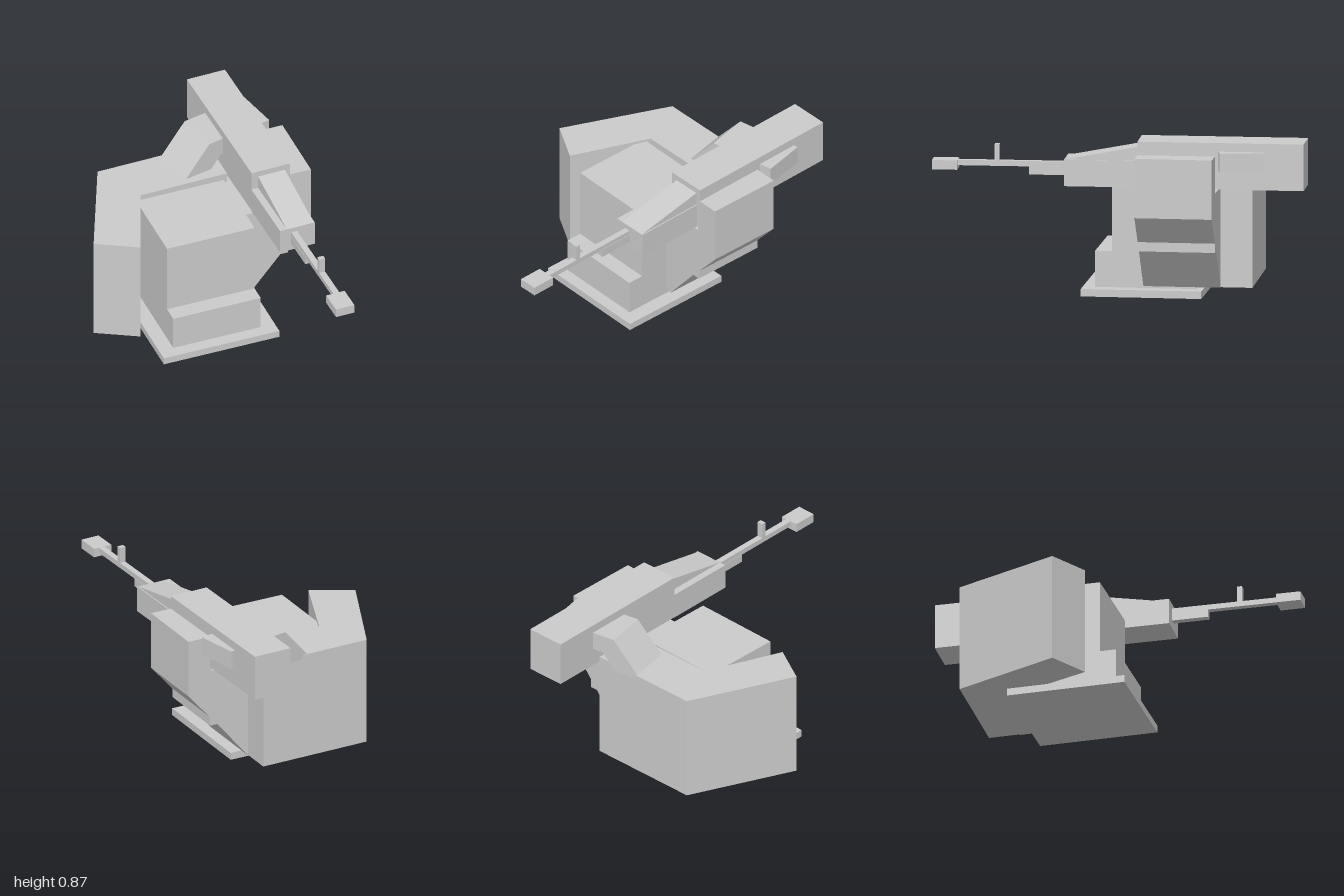
import * as THREE from 'three';

const material = new THREE.MeshStandardMaterial({ color: 0xcccccc, flatShading: true });

function addMesh(parent, name, geometry) {
  const mesh = new THREE.Mesh(geometry, material);
  mesh.name = name;
  parent.add(mesh);
  return mesh;
}

// Box given by its lower and upper limits on each axis
function addBox(parent, name, [x0, x1], [y0, y1], [z0, z1]) {
  const geometry = new THREE.BoxGeometry(x1 - x0, y1 - y0, z1 - z0);
  geometry.translate((x0 + x1) / 2, (y0 + y1) / 2, (z0 + z1) / 2);
  return addMesh(parent, name, geometry);
}

// Straight prism from an outline, running from 0 to depth along z
function prism(points, depth) {
  const shape = new THREE.Shape(points.map(([x, y]) => new THREE.Vector2(x, y)));
  return new THREE.ExtrudeGeometry(shape, { depth, bevelEnabled: false });
}

export function createModel() {
  const model = new THREE.Group();
  model.name = 'gunTurret';

  // Base plate and stepped body
  addBox(model, 'basePlate', [-0.35, 0.31], [0, 0.04], [-0.43, 0.217]);
  const body = prism([
    [-0.15, 0.04], [0.39, 0.04], [0.39, 0.64], [-0.06, 0.64], [-0.06, 0.235], [-0.15, 0.235],
  ], 0.5);
  body.rotateY(Math.PI / 2).translate(-0.27, 0, 0);
  addMesh(model, 'body', body);

  // Ammunition bin wrapped around the back and right side (outline in x, -z)
  const bin = prism([
    [-0.625, 0.105], [-0.405, -0.015], [-0.237, 0.408], [0.26, 0.42], [0.26, 0.698], [-0.375, 0.685],
  ], 0.597);
  bin.rotateX(-Math.PI / 2).translate(0, 0.058, 0);
  addMesh(model, 'ammunitionBin', bin);

  // Bracket carrying the gun
  const bracket = prism([
    [0.23, 0.08], [0.26, 0.055], [0.445, 0.28], [0.49, 0.28], [0.49, 0.33],
    [0.62, 0.48], [0.62, 0.80], [0.482, 0.80], [0.482, 0.60], [0.23, 0.60],
  ], 0.415);
  bracket.translate(0, 0, -0.528);
  addMesh(model, 'gunBracket', bracket);

  // Gun, turned slightly towards the left
  const gun = new THREE.Group();
  gun.name = 'gun';
  gun.position.x = 0.392;
  gun.rotation.y = 0.024;
  model.add(gun);
  addBox(gun, 'receiver', [-0.11, 0.11], [0.622, 0.873], [-1, -0.11]);
  addBox(gun, 'barrelHousing', [-0.112, 0.088], [0.622, 0.765], [-0.11, 0.285]);
  const cover = prism([[0.11, 0.765], [0.11, 0.84], [-0.285, 0.765]], 0.155);
  cover.rotateY(Math.PI / 2).translate(-0.073, 0, 0);
  addMesh(gun, 'slopedCover', cover);
  addBox(gun, 'barrelSupport', [-0.05, -0.012], [0.665, 0.712], [0.285, 0.483]);
  addBox(gun, 'barrel', [-0.048, -0.014], [0.708, 0.737], [0.285, 0.88]);
  addBox(gun, 'frontSight', [-0.048, -0.014], [0.737, 0.825], [0.643, 0.668]);
  addBox(gun, 'muzzle', [-0.09, 0.016], [0.688, 0.738], [0.865, 1]);

  // Bent feed chute from the bin through the receiver
  const chute = prism([
    [-0.19, 0.827], [-0.36, 0.632], [-0.2, 0.632], [-0.12, 0.725], [0.19, 0.725], [0.19, 0.827],
  ], 0.24);
  chute.translate(0, 0, -0.12);
  const feed = addMesh(model, 'feedChute', chute);
  feed.position.set(0.347, 0, -0.64);
  feed.rotation.y = 0.21;

  return model;
}
